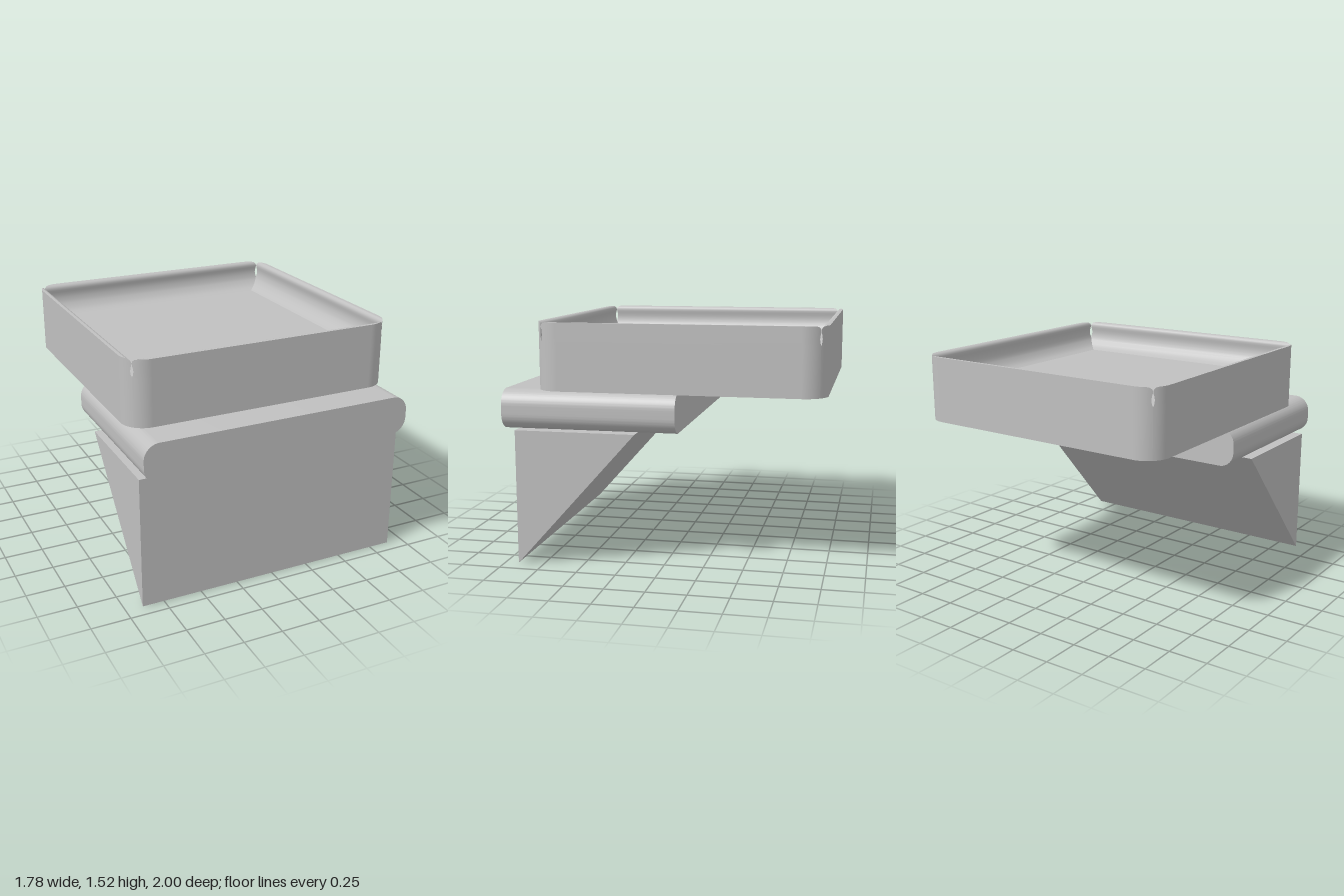
import * as THREE from 'three';
import { toCreasedNormals } from 'three/addons/utils/BufferGeometryUtils.js';

const HALF_X = 0.89, HALF_Z = 0.8925, TRAY_Z = -0.1075; // tray plan
const R = 0.15, BASE = 1.105, SEGS = 10;                // corner radius, underside height

// Inside of the tray wall, from rim to floor: [inset from outer face, height]
const PROFILE = [
  [0.02, 1.525], [0.032, 1.521], [0.04, 1.512], [0.0435, 1.5], [0.042, 1.485],
  [0.039, 1.47], [0.037, 1.45], [0.039, 1.43], [0.044, 1.41],
  [0.052, 1.39], [0.075, 1.36], [0.1, 1.342], [0.13, 1.33],
];
const FLOOR = PROFILE[PROFILE.length - 1];

// Surface through rows of points of equal length
function grid(rows) {
  const n = rows[0].length, index = [];
  for (let i = 0; i < rows.length - 1; i++) {
    for (let j = 0; j < n - 1; j++) {
      const a = i * n + j, b = a + n;
      index.push(a, a + 1, b + 1, a, b + 1, b);
    }
  }
  const g = new THREE.BufferGeometry();
  g.setAttribute('position', new THREE.Float32BufferAttribute(rows.flat(2), 3));
  g.setIndex(index);
  g.computeVertexNormals();
  return g;
}

function roundedRect(hx, hy, r) {
  const s = new THREE.Shape();
  s.absarc(hx - r, hy - r, r, 0, Math.PI / 2);
  s.absarc(r - hx, hy - r, r, Math.PI / 2, Math.PI);
  s.absarc(r - hx, r - hy, r, Math.PI, Math.PI * 1.5);
  s.absarc(hx - r, r - hy, r, Math.PI * 1.5, Math.PI * 2);
  return s;
}

// Angle round the corner at which the outer face reaches a given inset
const cornerAngle = (d) => Math.min(Math.acos(1 - d / R), Math.PI / 4);

// Outer face of one side at one height, ending where the inside cuts through it
function outerRow(half, depth, d, y) {
  const row = [], max = cornerAngle(d);
  for (const side of [-1, 1]) {
    for (let k = 0; k <= SEGS; k++) {
      const t = max * (side < 0 ? 1 - k / SEGS : k / SEGS);
      row.push([side * (half - R + R * Math.sin(t)), y, depth - R + R * Math.cos(t)]);
    }
  }
  return row;
}

// Inside line of one side, ending at the mitre or at the corner slit
function innerRow(half, depth, [d, y]) {
  const t = cornerAngle(d);
  const a = t < Math.PI / 4 ? half - R + R * Math.sin(t) : half - d;
  return [[-a, y, depth - d], [a, y, depth - d]];
}

export function createModel() {
  const model = new THREE.Group();
  const grey = new THREE.MeshStandardMaterial({ color: 0xc0c0c0 });
  grey.name = 'light grey';
  const add = (parent, name, geometry) => {
    const mesh = new THREE.Mesh(geometry, grey);
    mesh.name = name;
    parent.add(mesh);
    return mesh;
  };

  // Wedge foot: triangle in z and y, extruded across x
  const tri = new THREE.Shape([[0.915, 0], [0.915, 0.855], [0.15, 0.855]].map(([z, y]) => new THREE.Vector2(z, y)));
  const wedge = new THREE.ExtrudeGeometry(tri, { depth: 2 * HALF_X, bevelEnabled: false });
  wedge.rotateY(-Math.PI / 2).translate(HALF_X, 0, 0);
  add(model, 'wedgeFoot', wedge);

  // Slab with rounded long edges
  const slab = new THREE.ExtrudeGeometry(roundedRect(HALF_X, 0.125, 0.1), { depth: 1.1, bevelEnabled: false, curveSegments: 12 });
  slab.translate(0, 0.98, -0.1);
  add(model, 'roundedSlab', toCreasedNormals(slab, 0.5));

  // Tray: four mitred sides with slit corners, a floor and an underside
  const tray = new THREE.Group();
  tray.name = 'tray';
  tray.position.z = TRAY_Z;
  model.add(tray);
  ['front', 'left', 'back', 'right'].forEach((name, i) => {
    const [half, depth] = i % 2 ? [HALF_Z, HALF_X] : [HALF_X, HALF_Z];
    const side = new THREE.Group();
    side.name = name + 'Side';
    side.rotation.y = i * Math.PI / 2;
    tray.add(side);

    const heights = PROFILE.filter(([, y]) => y >= 1.41).reverse();
    const outer = [[1, BASE], ...heights].map(([d, y]) => outerRow(half, depth, Math.min(d, R / 2), y));
    add(side, name + 'OuterWall', grid(outer));

    const rim = outer[outer.length - 1];
    add(side, name + 'RimTop', grid([rim, rim.map(([x, y]) => [x, y, depth - PROFILE[0][0]])]));
    add(side, name + 'InnerWall', grid(PROFILE.map((p) => innerRow(half, depth, p))));
  });

  const floor = new THREE.PlaneGeometry(2 * (HALF_X - FLOOR[0]), 2 * (HALF_Z - FLOOR[0]));
  floor.rotateX(-Math.PI / 2).translate(0, FLOOR[1], 0);
  add(tray, 'trayFloor', floor);

  const underside = new THREE.ShapeGeometry(roundedRect(HALF_X, HALF_Z, R), SEGS * 2);
  underside.rotateX(Math.PI / 2).translate(0, BASE, 0);
  add(tray, 'trayUnderside', underside);

  return model;
}
